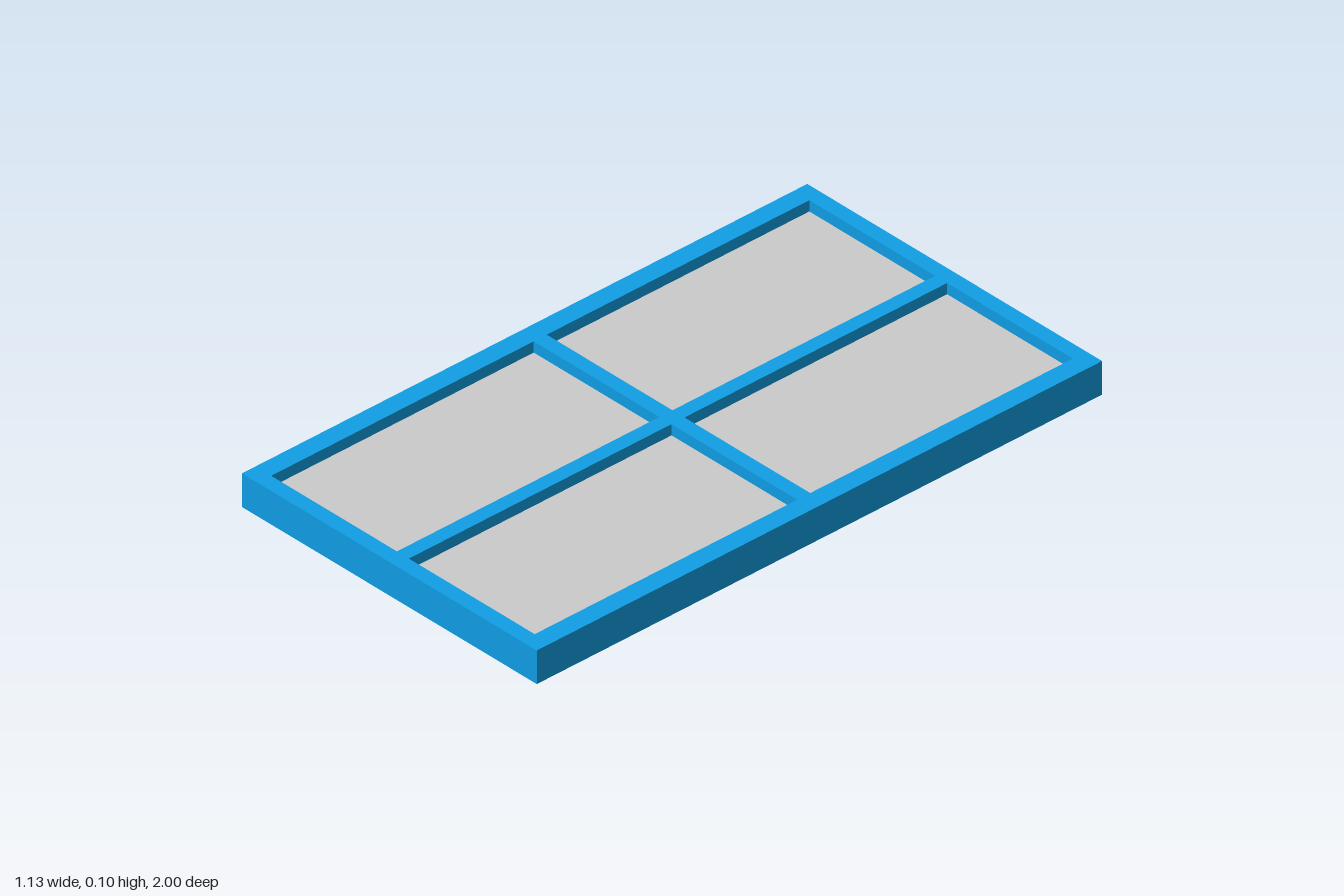
import * as THREE from 'three';

const W = 1.13, L = 2, H = 0.105;      // outer size
const SIDE = 0.06, END = 0.048;        // frame rail widths
const BAR = 0.046;                     // dividing bar width
const PANE = 0.035;                    // pane thickness

export function createModel() {
  const model = new THREE.Group();
  model.name = 'window';
  const blue = new THREE.MeshStandardMaterial({ color: 0x109fe5 });
  const grey = new THREE.MeshStandardMaterial({ color: 0xcccccc });

  const paneW = (W - 2 * SIDE - BAR) / 2;
  const paneL = (L - 2 * END - BAR) / 2;
  const rect = (path, cx, cy, w, h) => {
    path.moveTo(cx - w / 2, cy - h / 2);
    path.lineTo(cx + w / 2, cy - h / 2);
    path.lineTo(cx + w / 2, cy + h / 2);
    path.lineTo(cx - w / 2, cy + h / 2);
    path.closePath();
    return path;
  };

  // Frame with crossing bars: one slab with four openings, each holding a recessed pane
  const outline = rect(new THREE.Shape(), 0, 0, W, L);
  for (const sx of [-1, 1]) {
    for (const sz of [-1, 1]) {
      const x = sx * (BAR + paneW) / 2, z = sz * (BAR + paneL) / 2;
      outline.holes.push(rect(new THREE.Path(), x, -z, paneW, paneL));
      const pane = new THREE.Mesh(new THREE.BoxGeometry(paneW, PANE, paneL), grey);
      pane.name = (sz > 0 ? 'front' : 'back') + (sx > 0 ? 'Left' : 'Right') + 'Pane';
      pane.position.set(x, H / 2, z);
      model.add(pane);
    }
  }
  const geometry = new THREE.ExtrudeGeometry(outline, { depth: H, bevelEnabled: false });
  geometry.rotateX(-Math.PI / 2);
  const frame = new THREE.Mesh(geometry, blue);
  frame.name = 'frame';
  model.add(frame);
  return model;
}
